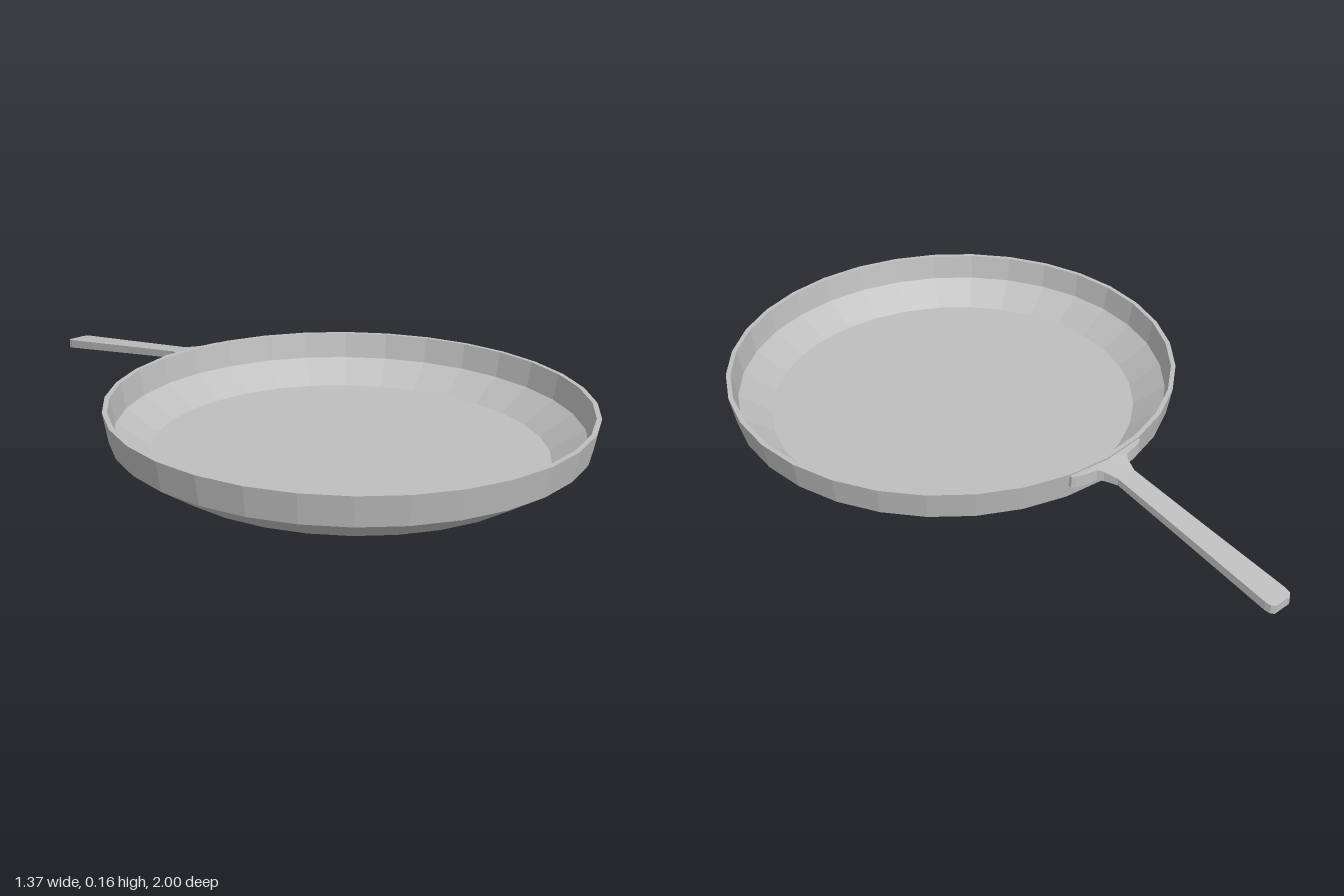
import * as THREE from 'three';

const PAN_Z = 0.315;

export function createModel() {
  const model = new THREE.Group();
  model.name = 'fryingPan';
  const metal = new THREE.MeshStandardMaterial({ color: 0xbebebe, flatShading: true });
  metal.name = 'grey metal';

  // Pan: outer wall, rim, then back down the inside to the floor
  const profile = [
    [0, 0], [0.565, 0], [0.67, 0.07], [0.685, 0.155],
    [0.671, 0.155], [0.657, 0.078], [0.563, 0.012], [0, 0.012],
  ].map(([r, y]) => new THREE.Vector2(r, y));
  const pan = new THREE.Mesh(new THREE.LatheGeometry(profile, 32), metal);
  pan.name = 'pan';
  pan.position.z = PAN_Z;
  model.add(pan);

  // Handle outline: half width and distance behind the origin, from bracket to tip
  const half = [
    [0.131, 0.344], [0.133, 0.362], [0.122, 0.37], [0.1, 0.378], [0.058, 0.385],
    [0.046, 0.4], [0.031, 0.44], [0.034, 0.66], [0.04, 0.975], [0.037, 0.992], [0.028, 1],
  ];
  const outline = [
    [0, 0.357],
    ...half,
    ...half.slice().reverse().map(([x, s]) => [-x, s]),
  ].map(([x, s]) => new THREE.Vector2(x, s));
  const handleGeo = new THREE.ExtrudeGeometry(new THREE.Shape(outline), { depth: 1, bevelEnabled: false });
  handleGeo.rotateX(-Math.PI / 2);

  // Bend: thick and level at the bracket, then thin and sloping down to the tip
  const p = handleGeo.attributes.position;
  for (let i = 0; i < p.count; i++) {
    const s = -p.getZ(i);
    const t = THREE.MathUtils.clamp((s - 0.44) / 0.56, 0, 1);
    const neck = THREE.MathUtils.clamp((s - 0.378) / 0.062, 0, 1);
    const top = THREE.MathUtils.lerp(0.15 - 0.014 * neck, 0.055, t);
    const bottom = THREE.MathUtils.lerp(0.114, 0.028, t);
    p.setY(i, p.getY(i) > 0.5 ? top : bottom);
  }
  handleGeo.computeVertexNormals();
  const handle = new THREE.Mesh(handleGeo, metal);
  handle.name = 'handle';
  model.add(handle);

  return model;
}
